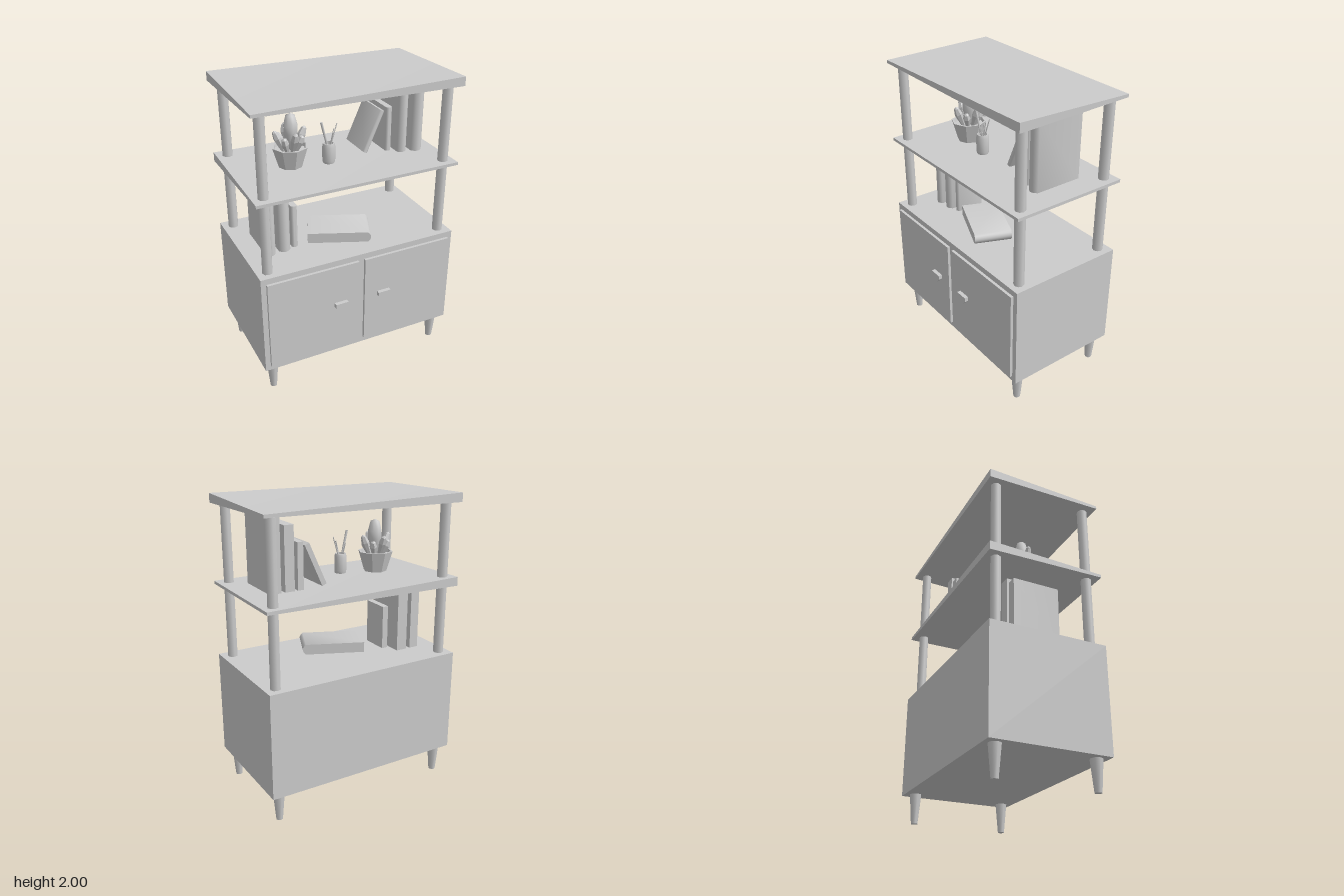
import * as THREE from 'three';
import { toCreasedNormals } from 'three/addons/utils/BufferGeometryUtils.js';

const smooth = new THREE.MeshStandardMaterial({ color: 0xcccccc });
const flat = new THREE.MeshStandardMaterial({ color: 0xcccccc, flatShading: true });
const thin = new THREE.MeshStandardMaterial({ color: 0xcccccc, side: THREE.DoubleSide });

function add(parent, name, geometry, x, y, z, material = smooth) {
  const mesh = new THREE.Mesh(geometry, material);
  mesh.name = name;
  mesh.position.set(x, y, z);
  parent.add(mesh);
  return mesh;
}

// Box given by its limits on each axis
function block(parent, name, x0, x1, y0, y1, z0, z1) {
  return add(parent, name, new THREE.BoxGeometry(x1 - x0, y1 - y0, z1 - z0),
    (x0 + x1) / 2, (y0 + y1) / 2, (z0 + z1) / 2);
}

// Thin board whose corners differ in thickness; half(x, z) gives the half thickness
function board(parent, name, y, half) {
  const g = new THREE.BoxGeometry(1.39, 2, 0.8);
  const p = g.attributes.position;
  for (let i = 0; i < p.count; i++) p.setY(i, p.getY(i) * half(p.getX(i), p.getZ(i)));
  g.computeVertexNormals();
  return add(parent, name, g, 0, y, -0.02);
}

// Book standing on its end, centred, with a rounded spine towards +z
function bookGeometry(width, height, depth) {
  const w = width / 2, d = depth / 2, bulge = width * 0.3;
  const s = new THREE.Shape();
  s.moveTo(-w, d);
  s.lineTo(-w, -d + bulge);
  s.quadraticCurveTo(0, -d - bulge, w, -d + bulge);
  s.lineTo(w, d);
  s.closePath();
  const g = new THREE.ExtrudeGeometry(s, { depth: height, bevelEnabled: false, curveSegments: 6 });
  g.rotateX(-Math.PI / 2);
  g.translate(0, -height / 2, 0);
  return toCreasedNormals(g, 0.8);
}

function book(parent, x0, x1, y0, y1, z0, z1) {
  return add(parent, 'book', bookGeometry(x1 - x0, y1 - y0, z1 - z0),
    (x0 + x1) / 2, (y0 + y1) / 2, (z0 + z1) / 2);
}

// Tapered stick between two points
function stick(parent, name, a, b, r0, r1, sides) {
  const from = new THREE.Vector3(...a), to = new THREE.Vector3(...b);
  const dir = to.clone().sub(from);
  const m = add(parent, name, new THREE.CylinderGeometry(r1, r0, dir.length(), sides), 0, 0, 0);
  m.position.copy(from).add(to).multiplyScalar(0.5);
  m.quaternion.setFromUnitVectors(new THREE.Vector3(0, 1, 0), dir.normalize());
  return m;
}

function lathe(points, sides) {
  return new THREE.LatheGeometry(points.map(([r, y]) => new THREE.Vector2(r, y)), sides);
}

function group(parent, name, x = 0, y = 0, z = 0) {
  const g = new THREE.Group();
  g.name = name;
  g.position.set(x, y, z);
  parent.add(g);
  return g;
}

export function createModel() {
  const model = new THREE.Group();
  model.name = 'shelfCabinet';

  // Cabinet, doors and cup handles
  block(model, 'cabinet', -0.695, 0.695, 0.2, 0.915, -0.42, 0.378);
  const cup = new THREE.Shape([[-0.045, 0.03], [-0.045, 0], [-0.018, -0.03], [0.018, -0.03], [0.045, 0], [0.045, 0.03]]
    .map(([x, y]) => new THREE.Vector2(x, y)));
  for (const s of [-1, 1]) {
    const near = s < 0 ? -0.025 : 0.02, far = s * 0.66;
    block(model, 'door', Math.min(near, far), Math.max(near, far), 0.24, 0.875, 0.37, 0.397);
    add(model, 'handle', new THREE.ExtrudeGeometry(cup, { depth: 0.03, bevelEnabled: false }),
      s * 0.158, 0.575, 0.393);
  }

  // Legs below and posts above, at the four corners
  for (const x of [-0.622, 0.622]) {
    for (const z of [0.307, -0.347]) {
      add(model, 'leg', new THREE.CylinderGeometry(0.041, 0.023, 0.2, 8), x, 0.1, z);
      add(model, 'post', new THREE.CylinderGeometry(0.034, 0.034, 1.035, 8), x, 1.4325, z);
    }
  }

  // Boards: the top is thick at two opposite corners, the shelf at one
  board(model, 'topBoard', 1.97, (x, z) => (x * z > 0 ? 0.03 : 0.01));
  board(model, 'middleShelf', 1.42, (x, z) => (x < 0 && z < 0 ? 0.03 : 0.01));

  // Upper books with one leaning
  const upper = group(model, 'upperBooks');
  book(upper, 0.333, 0.373, 1.455, 1.755, -0.19, 0.07);
  book(upper, 0.395, 0.46, 1.455, 1.865, -0.19, 0.13);
  book(upper, 0.487, 0.565, 1.455, 1.915, -0.19, 0.155);
  const leaning = add(upper, 'leaningBook', bookGeometry(0.033, 0.295, 0.25), 0.247, 1.602, -0.065);
  leaning.rotation.z = -0.42;

  // Lower books
  const lower = group(model, 'lowerBooks');
  book(lower, -0.56, -0.495, 0.915, 1.325, -0.19, 0.145);
  book(lower, -0.465, -0.387, 0.915, 1.375, -0.19, 0.135);
  book(lower, -0.367, -0.325, 0.915, 1.215, -0.1, 0.105);

  // Book lying on the cabinet
  const lying = group(model, 'lyingBook', -0.02, 0.96, 0.08);
  lying.rotation.y = -0.4;
  const lyingMesh = add(lying, 'bookBlock', bookGeometry(0.07, 0.25, 0.42), 0, 0, 0);
  lyingMesh.rotation.set(-Math.PI / 2, 0, -Math.PI / 2, 'YXZ');
  lyingMesh.rotation.setFromRotationMatrix(new THREE.Matrix4().makeBasis(
    new THREE.Vector3(0, 1, 0), new THREE.Vector3(0, 0, 1), new THREE.Vector3(1, 0, 0)));
  lying.children[0].position.set(0, 0, 0);

  // Potted plant: hollow pot, central bulb and a ring of leaves
  const plant = group(model, 'pottedPlant', -0.32, 1.455, 0);
  add(plant, 'pot', toCreasedNormals(lathe([[0, 0], [0.078, 0], [0.118, 0.135], [0.105, 0.135], [0.1, 0.11], [0, 0.11]], 8), 0.3),
    0, 0, 0, thin);
  add(plant, 'bulb', lathe([[0, 0.1], [0.025, 0.12], [0.047, 0.22], [0.047, 0.27], [0.03, 0.335], [0, 0.348]], 8), 0.008, 0, 0);
  for (let i = 0; i < 8; i++) {
    const tall = i % 2 === 0;
    const pivot = group(plant, 'leafPivot', 0, 0.1, 0);
    pivot.rotation.y = i * Math.PI / 4;
    const h = tall ? 0.165 : 0.125;
    const leaf = add(pivot, 'leaf', lathe([[0, 0], [0.012, 0], [0.026, h * 0.65], [0.016, h * 0.92], [0, h]], 6), 0.04, 0, 0, flat);
    leaf.rotation.z = -0.4;
  }

  // Pencil cup with pencils
  const holder = group(model, 'pencilCup', -0.08, 1.455, 0.06);
  add(holder, 'cup', toCreasedNormals(lathe([[0, 0], [0.038, 0], [0.042, 0.02], [0.042, 0.11], [0.037, 0.132], [0.03, 0.132], [0.03, 0.02], [0, 0.02]], 10), 0.7),
    0, 0, 0, thin);
  const tips = [[-0.055, 0.28, 0.01], [0.062, 0.25, -0.01], [0.02, 0.21, 0.03], [-0.02, 0.2, -0.03], [0.035, 0.22, 0.0]];
  for (const [x, y, z] of tips) {
    stick(holder, 'pencil', [-x * 0.2, 0.03, -z * 0.2], [x, y, z], 0.006, x < -0.05 ? 0.008 : 0.003, 6);
  }
  return model;
}
